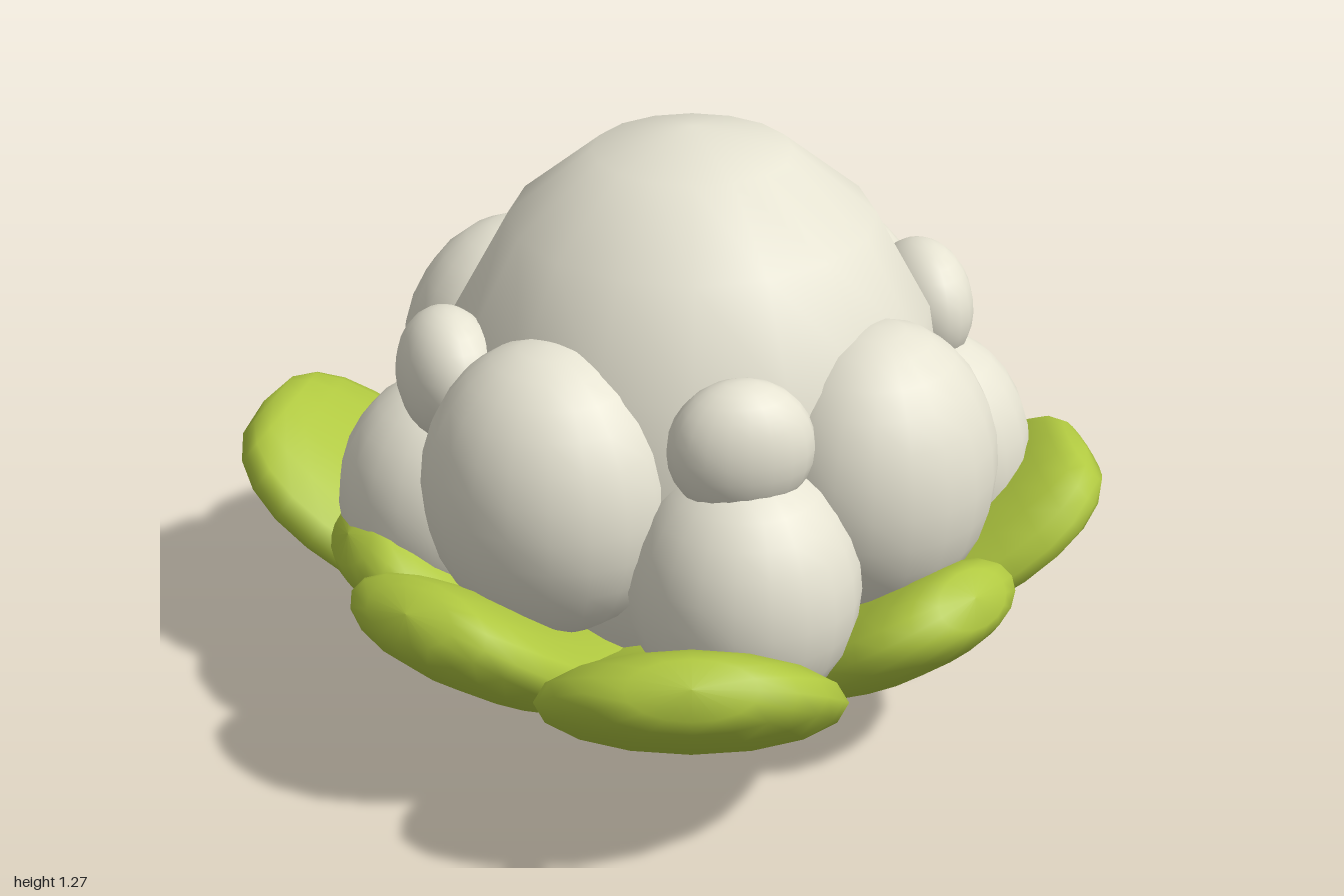
import * as THREE from 'three';

const CX = 0.05, CZ = -0.04; // axis of the head

export function createModel() {
  const curd = new THREE.MeshStandardMaterial({ color: 0xe6e3d2 });
  curd.name = 'cream curd';
  const leafGreen = new THREE.MeshStandardMaterial({ color: 0xb0c840 });
  leafGreen.name = 'leaf green';
  const baseGreen = new THREE.MeshStandardMaterial({ color: 0x437d3b });
  baseGreen.name = 'dark base green';

  const model = new THREE.Group();
  model.name = 'cauliflower';

  // Central dome, open underneath where the leaves close it
  const dome = new THREE.Mesh(
    new THREE.SphereGeometry(1, 16, 6, 0, Math.PI * 2, 0, Math.PI * 0.75), curd);
  dome.name = 'centralDome';
  dome.scale.set(0.555, 0.67, 0.555);
  dome.position.set(CX + 0.005, 0.6, CZ);
  model.add(dome);

  // Ellipsoid florets whose z axis points away from the head's axis
  const ball = new THREE.SphereGeometry(1, 20, 14);
  function floret(name, x, y, z, sx, sy, sz) {
    const mesh = new THREE.Mesh(ball, curd);
    mesh.name = name;
    mesh.position.set(CX + x, y, CZ + z);
    mesh.rotation.y = Math.atan2(x, z);
    mesh.scale.set(sx, sy, sz);
    model.add(mesh);
  }
  for (let i = 0; i < 4; i++) {
    const c = Math.round(Math.cos(i * Math.PI / 2)), s = Math.round(Math.sin(i * Math.PI / 2));
    const turn = (x, z) => [x * c + z * s, z * c - x * s];
    const [lx, lz] = turn(-0.29, 0.385);
    floret('largeFloret', lx, 0.62, lz, 0.28, 0.32, 0.255);
    const [mx, mz] = turn(0.11, 0.515);
    floret('mediumFloret', mx, 0.465, mz, 0.243, 0.28, 0.25);
  }
  for (const [x, z] of [[0.1, 0.535], [0.515, -0.18], [-0.17, -0.52], [-0.51, 0.19]]) {
    floret('smallFloret', x, 0.785, z, 0.152, 0.147, 0.108);
  }

  // Blunt profile: 1 at t = mid, falling to 0 at both ends
  function profile(t, mid, rootPower, tipPower) {
    const [u, p] = t < mid ? [(mid - t) / mid, rootPower] : [(t - mid) / (1 - mid), tipPower];
    return Math.pow(Math.max(0, 1 - Math.pow(u, p)), 1 / p);
  }

  // Thick leaf curving upward along +x, dark near its root
  function leafGeometry(length, width, rise) {
    const rings = 16, sides = 16, thick = 0.105;
    const pos = [], base = [], blade = [];
    const along = i => (1 - Math.cos(Math.PI * i / rings)) / 2;
    for (let i = 0; i <= rings; i++) {
      const t = along(i);
      const slope = 2 * rise * t / length;
      const n = Math.hypot(1, slope);
      const w = width * profile(t, 0.72, 1.9, 2.7);
      const h = thick * profile(t, 0.5, 3, 4.5);
      for (let j = 0; j < sides; j++) {
        const a = j / sides * Math.PI * 2;
        const up = Math.sin(a) * h / n;
        pos.push(length * t - up * slope, 0.085 + rise * t * t + up, Math.cos(a) * w);
      }
    }
    for (let i = 0; i < rings; i++) {
      const list = along(i + 0.5) * length < 0.4 ? base : blade;
      for (let j = 0; j < sides; j++) {
        const k = (j + 1) % sides;
        const a = i * sides + j, b = i * sides + k, c = a + sides, d = b + sides;
        list.push(a, c, b, b, c, d);
      }
    }
    const g = new THREE.BufferGeometry();
    g.setAttribute('position', new THREE.Float32BufferAttribute(pos, 3));
    g.setIndex([...base, ...blade]);
    g.addGroup(0, base.length, 0);
    g.addGroup(base.length, blade.length, 1);
    g.computeVertexNormals();
    return g;
  }

  // Leaves: heading in degrees (from +x toward +z), length, half width, rise
  const leaves = [
    [90, 1.01, 0.317, 0.425],
    [130, 0.89, 0.28, 0.4],
    [161, 0.775, 0.25, 0.35],
    [194, 1.0, 0.315, 0.425],
    [225, 0.79, 0.25, 0.36],
    [262, 0.87, 0.27, 0.4],
    [300, 1.02, 0.31, 0.425],
    [356, 0.89, 0.285, 0.4],
    [43, 0.8, 0.25, 0.36],
  ];
  for (const [deg, length, width, rise] of leaves) {
    const leaf = new THREE.Mesh(leafGeometry(length, width, rise), [baseGreen, leafGreen]);
    leaf.name = 'leaf';
    leaf.position.set(CX, 0, CZ);
    leaf.rotation.y = -deg * Math.PI / 180;
    model.add(leaf);
  }
  return model;
}
